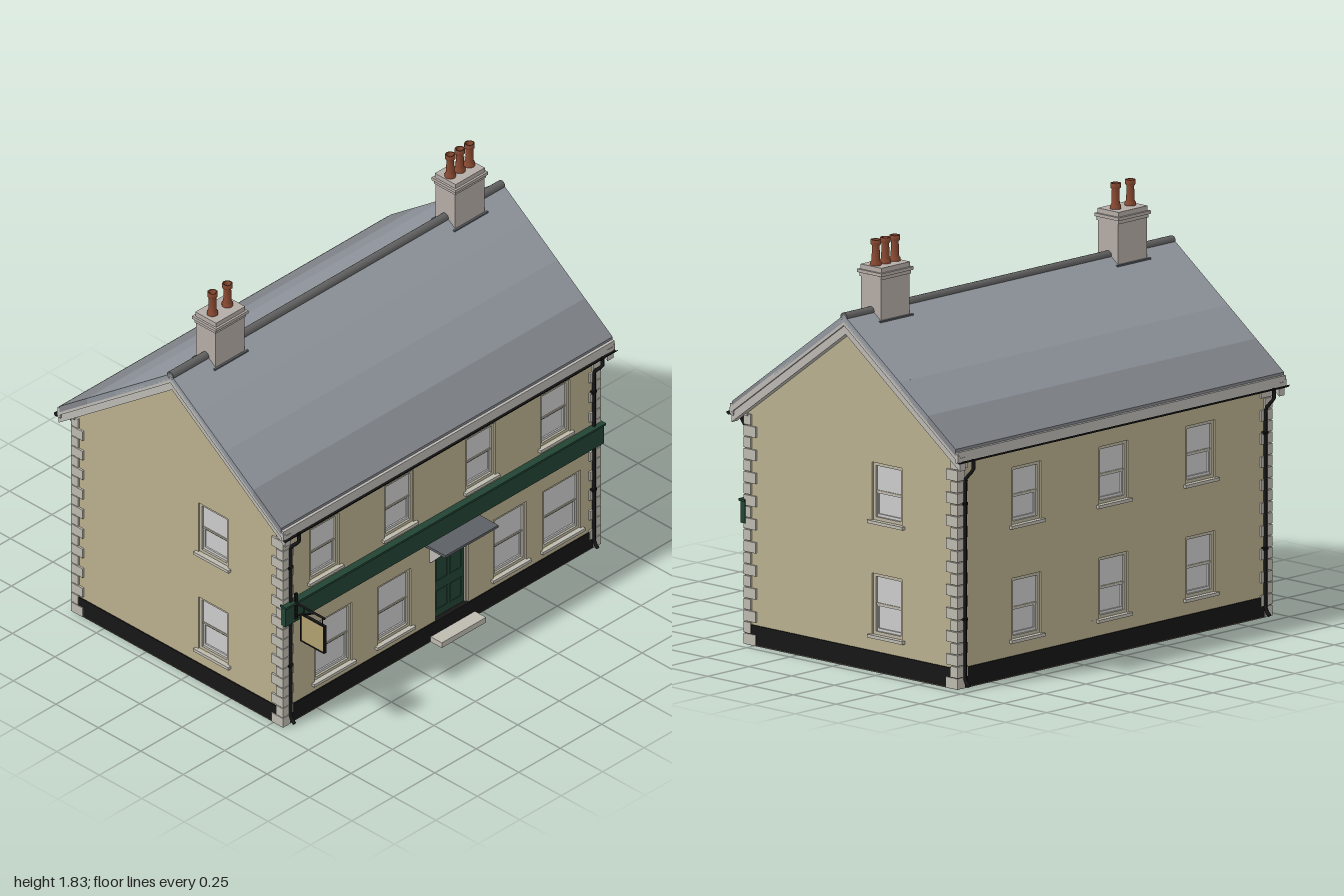
import * as THREE from 'three';

const mat = (color, side = THREE.FrontSide) => new THREE.MeshStandardMaterial({ color, side });
const M = {
  wall: mat(0xb9af8e), stone: mat(0xbdbab0), pane: mat(0xcccccc), surround: mat(0xb8b3a0),
  black: mat(0x161616, THREE.DoubleSide), green: mat(0x224434), trim: mat(0xbcb9b4), lead: mat(0x5c6064),
  chimney: mat(0xb4aca6), clay: mat(0x8a4a32), floor: mat(0x5a5046), cream: mat(0xb0a070), ridge: mat(0x606060),
  soot: mat(0x2a1a14),
};
const ZC = -0.065, HX = 0.95, HZ = 0.615;      // ridge line, half width and half depth of the walls
const RIDGE = 1.53, PITCH = 0.731;

function add(parent, name, geo, material, x = 0, y = 0, z = 0) {
  const m = new THREE.Mesh(geo, material);
  m.name = name;
  m.position.set(x, y, z);
  parent.add(m);
  return m;
}
const box = (parent, name, material, w, h, d, x, y, z) =>
  add(parent, name, new THREE.BoxGeometry(w, h, d), material, x, y, z);
const poly = pts => new THREE.Shape(pts.map(p => new THREE.Vector2(...p)));
const rect = (x0, y0, x1, y1) => [[x0, y0], [x1, y0], [x1, y1], [x0, y1]];
function plate(outline, holes, depth) {
  const s = poly(outline);
  s.holes = holes.map(poly);
  return new THREE.ExtrudeGeometry(s, { depth, bevelEnabled: false });
}
// Profile given as [z, y], swept along x and centred
function sweepX(pts, length) {
  return plate(pts, [], length).translate(0, 0, -length / 2).rotateY(-Math.PI / 2);
}
function pipe(parent, name, pts, r) {
  const path = new THREE.CurvePath();
  const v = pts.map(p => new THREE.Vector3(...p));
  for (let i = 1; i < v.length; i++) path.add(new THREE.LineCurve3(v[i - 1], v[i]));
  return add(parent, name, new THREE.TubeGeometry(path, 48, r, 8, false), M.black);
}

// Sash window set back in its opening; the wall face is z = 0
function sashWindow(parent, { x, y0, y1, w }) {
  const g = new THREE.Group();
  g.name = 'sashWindow';
  g.position.x = x;
  parent.add(g);
  const a = w / 2, t = 0.014, mid = (y0 + y1) / 2;
  add(g, 'windowFrame', plate(rect(-a, y0, a, y1), [rect(-a + t, y0 + t, a - t, y1 - t)], 0.02), M.surround, 0, 0, -0.028);
  box(g, 'upperPane', M.pane, w - 0.02, y1 - mid, 0.006, 0, (y1 + mid) / 2, -0.021);
  box(g, 'lowerPane', M.pane, w - 0.02, mid - y0, 0.006, 0, (y0 + mid) / 2, -0.028);
  box(g, 'meetingRail', M.surround, w - 0.02, 0.008, 0.01, 0, mid, -0.019);
  add(g, 'lowerSash', plate(rect(-a + t, y0 + t, a - t, mid),
    [rect(-a + t + 0.007, y0 + t + 0.012, a - t - 0.007, mid - 0.01)], 0.008), M.pane, 0, 0, -0.026);
  box(g, 'windowSill', M.stone, w + 0.03, 0.014, 0.045, 0, y0 - 0.007, -0.007);
}

// One outside wall with its openings, built facing +z
function wall(parent, name, outline, windows, extraHoles, pos, turn) {
  const g = new THREE.Group();
  g.name = name;
  g.position.set(...pos);
  g.rotation.y = turn;
  parent.add(g);
  const holes = windows.map(o => rect(o.x - o.w / 2, o.y0, o.x + o.w / 2, o.y1));
  add(g, name + 'Panel', plate(outline, holes.concat(extraHoles), 0.04), M.wall, 0, 0, -0.04);
  windows.forEach(o => sashWindow(g, o));
  return g;
}

function buildWalls(root) {
  const upper = (x, w = 0.176) => ({ x, w, y0: 0.66, y1: 0.925 });
  const lower = (x, w) => ({ x, w, y0: 0.134, y1: 0.43 });
  const pair = x => [{ x, w: 0.176, y0: 0.655, y1: 0.905 }, { x, w: 0.176, y0: 0.16, y1: 0.425 }];
  const topX = [-0.698, -0.249, 0.243, 0.693];
  const long = rect(-HX, 0.02, HX, 1.0);
  const front = wall(root, 'frontWall', long,
    [...topX.map(x => upper(x)), lower(-0.647, 0.225), lower(-0.278, 0.2), lower(0.42, 0.2), lower(0.732, 0.225)],
    [rect(-0.03, 0.085, 0.17, 0.485)], [0, 0, ZC + HZ], 0);
  wall(root, 'backWall', long, [-0.53, 0, 0.53].flatMap(pair), [], [0, 0, ZC - HZ], Math.PI);
  const e = HZ - 0.002;
  const gable = [[-e, 0.02], [e, 0.02], [e, 1.0], [0, 1.46], [-e, 1.0]];
  for (const s of [1, -1]) wall(root, 'gableWall', gable, pair(0.205), [], [s * HX, 0, ZC], s * Math.PI / 2);

  // Air vents, shop fascia and doorway
  topX.forEach(x => box(front, 'airVent', M.surround, 0.035, 0.008, 0.008, x, 0.955, 0.002));
  box(front, 'signFascia', M.green, 1.92, 0.095, 0.026, 0, 0.57, 0.012);
  box(front, 'fasciaCornice', M.green, 1.93, 0.01, 0.036, 0, 0.622, 0.016);
  box(front, 'door', M.green, 0.184, 0.34, 0.012, 0.07, 0.25, -0.025);
  for (const x of [0.027, 0.113]) for (const [y, h] of [[0.33, 0.13], [0.17, 0.1]])
    add(front, 'doorPanel', plate(rect(-0.035, -h / 2, 0.035, h / 2),
      [rect(-0.028, -h / 2 + 0.007, 0.028, h / 2 - 0.007)], 0.004), M.green, x, y, -0.02);
  add(front, 'doorFrame', plate(rect(-0.03, 0.085, 0.17, 0.485),
    [rect(-0.022, 0.085, 0.162, 0.415), rect(-0.018, 0.425, 0.158, 0.475)], 0.02), M.surround, 0, 0, -0.03);
  box(front, 'fanlight', M.pane, 0.19, 0.06, 0.006, 0.07, 0.45, -0.024);
  box(front, 'doorStep', M.stone, 0.267, 0.026, 0.075, 0.07, 0.013, 0.033);
  // Door canopy on triangular brackets
  box(front, 'canopy', M.lead, 0.32, 0.012, 0.118, 0.07, 0.5, 0.058);
  box(front, 'canopyEdge', M.trim, 0.3, 0.008, 0.108, 0.07, 0.49, 0.053);
  for (const x of [-0.06, 0.2])
    add(front, 'canopyBracket', sweepX([[0, 0.405], [0.012, 0.41], [0.085, 0.487], [0, 0.487]], 0.014), M.trim, x);
}

function buildBase(root) {
  const px = HX + 0.005, pz = HZ + 0.005, t = 0.06;
  const ring = plate(rect(-px, -pz, px, pz), [rect(-px + t, -pz + t, px - t, pz - t)], 0.085);
  add(root, 'plinth', ring.rotateX(-Math.PI / 2), M.black, 0, 0.004, ZC);
  const rim = plate(rect(-px, -pz, px, pz), [rect(-px + t, -pz + t, px - t, pz - t)], 0.004);
  add(root, 'footing', rim.rotateX(-Math.PI / 2), M.floor, 0, 0, ZC);
  box(root, 'floor', M.floor, 2 * HX - 0.08, 0.01, 2 * HZ - 0.08, 0, 0.018, ZC);
  // Quoins: blocks alternate long and short around each corner
  const n = 20, h = 1 / n;
  for (const sx of [1, -1]) for (const sz of [1, -1]) for (let i = 0; i < n; i++) {
    const w = i % 2 ? 0.065 : 0.045, d = i % 2 ? 0.04 : 0.068;
    box(root, 'quoin', M.stone, w, h - 0.004, d, sx * (0.959 - w / 2), (i + 0.5) * h, ZC + sz * (HZ + 0.009 - d / 2));
  }
}

function buildRoof(root) {
  // Slates in four bands on each slope, measured out from the ridge
  const at = d => RIDGE - PITCH * d;
  const tints = [0x92989f, 0x92979f, 0x8d929a, 0x82858a];
  for (const s of [1, -1]) tints.forEach((c, i) => {
    const a = 0.6525 * i / 4, b = 0.6525 * (i + 1) / 4;
    let pts = [[s * a, at(a)], [s * b, at(b)], [s * b, at(b) - 0.03], [s * a, at(a) - 0.03]];
    add(root, 'slateBand', sweepX(pts, 2), mat(c), 0, 0, ZC);
  });
  const chevron = (r, top, bottom) => [[-r, at(r) - top], [0, RIDGE - top], [r, at(r) - top],
    [r, at(r) - bottom], [0, RIDGE - bottom], [-r, at(r) - bottom]];
  add(root, 'roofDeck', sweepX(chevron(0.64, 0.03, 0.06), 1.94), M.trim, 0, 0, ZC);
  for (const s of [1, -1]) {
    add(root, 'bargeBoard', sweepX(chevron(0.667, 0.028, 0.085), 0.035), M.trim, s * 0.972, 0, ZC);
    add(root, 'vergeStrip', sweepX(chevron(0.667, 0.018, 0.045), 0.012), M.trim, s * 0.994, 0, ZC);
    // Eaves, gutter and downpipes
    box(root, 'eavesFascia', M.trim, 1.996, 0.05, 0.016, 0, 1.016, ZC + s * 0.658);
    box(root, 'soffit', M.trim, 1.93, 0.01, 0.06, 0, 0.995, ZC + s * 0.63);
    const gutter = new THREE.CylinderGeometry(0.012, 0.012, 2, 12, 1, true, Math.PI, Math.PI).rotateZ(Math.PI / 2);
    add(root, 'gutter', gutter, M.black, 0, 1.004, ZC + s * 0.674);
    for (const x of [-0.915, 0.915]) {
      const p = [[0.676, 1.0], [0.676, 0.955], [0.626, 0.905], [0.626, 0.035], [0.65, 0.012]];
      pipe(root, 'downpipe', p.map(([z, y]) => [x, y, ZC + s * z]), 0.008);
      for (const y of [0.3, 0.8]) box(root, 'pipeBracket', M.black, 0.026, 0.012, 0.018, x, y, ZC + s * 0.622);
    }
  }
  add(root, 'ridgeTile', new THREE.CylinderGeometry(0.02, 0.02, 2, 16).rotateZ(Math.PI / 2), M.ridge, 0, 1.52, ZC);
}

function buildChimney(root, x, pots) {
  const g = new THREE.Group();
  g.name = 'chimney';
  g.position.set(x, 0, ZC);
  root.add(g);
  box(g, 'leadFlashing', M.lead, 0.205, 0.016, 0.135, 0, 1.479, 0);
  box(g, 'stack', M.chimney, 0.176, 0.25, 0.116, 0, 1.56, 0);
  box(g, 'lowerCourse', M.chimney, 0.196, 0.014, 0.142, 0, 1.686, 0);
  box(g, 'neckCourse', M.chimney, 0.184, 0.014, 0.126, 0, 1.67, 0);
  box(g, 'cap', M.chimney, 0.176, 0.024, 0.122, 0, 1.702, 0);
  const profile = [[0.024, 0], [0.024, 0.014], [0.018, 0.022], [0.016, 0.085], [0.022, 0.092], [0.022, 0.112],
    [0.015, 0.112], [0.014, 0.07]].map(p => new THREE.Vector2(...p));
  for (const px of pots) {
    add(g, 'chimneyPot', new THREE.LatheGeometry(profile, 16), M.clay, px, 1.713, 0);
    add(g, 'flue', new THREE.CircleGeometry(0.0145, 16).rotateX(-Math.PI / 2), M.soot, px, 1.784, 0);
  }
}

function buildHangingSign(root) {
  const g = new THREE.Group();
  g.name = 'hangingSign';
  g.position.x = -0.9;
  root.add(g);
  box(g, 'wallPlate', M.black, 0.014, 0.13, 0.01, 0, 0.605, 0.578);
  pipe(g, 'signArm', [[0, 0.62, 0.55], [0, 0.62, 0.748]], 0.005);
  pipe(g, 'signBrace', [[0, 0.55, 0.57], [0, 0.58, 0.62], [0, 0.62, 0.69]], 0.004);
  for (const z of [0.625, 0.735]) pipe(g, 'signHanger', [[0, 0.62, z], [0, 0.583, z]], 0.002);
  box(g, 'signBoard', M.cream, 0.01, 0.13, 0.13, 0, 0.514, 0.68);
  const frame = plate(rect(-0.07, -0.07, 0.07, 0.07), [rect(-0.064, -0.064, 0.064, 0.064)], 0.014);
  add(g, 'signFrame', frame.translate(0, 0, -0.007).rotateY(Math.PI / 2), M.black, 0, 0.514, 0.68);
}

export function createModel() {
  const root = new THREE.Group();
  root.name = 'publicHouse';
  buildWalls(root);
  buildBase(root);
  buildRoof(root);
  buildChimney(root, -0.698, [-0.047, 0.043]);
  buildChimney(root, 0.747, [-0.058, 0, 0.058]);
  buildHangingSign(root);
  return root;
}
